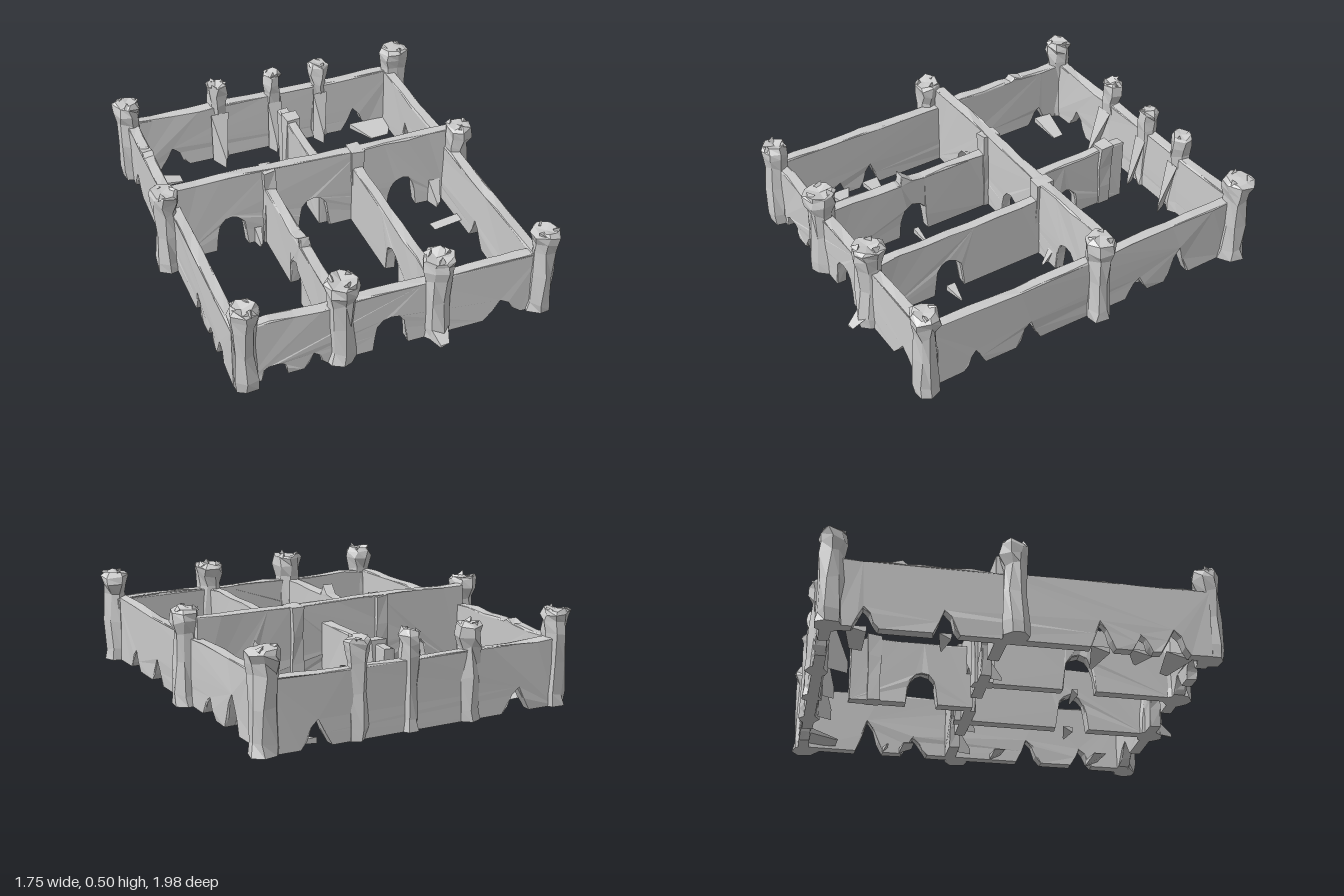
import * as THREE from 'three';

const mat = new THREE.MeshStandardMaterial({ color: 0xcccccc, flatShading: true, side: THREE.DoubleSide });

// Repeatable pseudo-random value in -1..1 from a position
const hash = (x, y, z, k) => {
  const s = Math.sin(x * 127.1 + y * 311.7 + z * 74.7 + k * 53.3) * 43758.5453;
  return (s - Math.floor(s)) * 2 - 1;
};

// Chip the surface: equal positions move equally, so no seams open
function roughen(geo, amount) {
  const p = geo.attributes.position;
  for (let i = 0; i < p.count; i++) {
    const [x, y, z] = [p.getX(i), p.getY(i), p.getZ(i)].map(v => Math.round(v * 1000) / 1000);
    p.setXYZ(i, x + amount * hash(x, y, z, 1),
      y < 0.005 ? 0 : y + amount * hash(x, y, z, 2), z + amount * hash(x, y, z, 3));
  }
  geo.computeVertexNormals();
  return geo;
}

function add(group, name, geo) {
  const mesh = new THREE.Mesh(geo, mat);
  mesh.name = name;
  group.add(mesh);
  return mesh;
}

// Wall from a to b along an axis. Gaps are [centre, width, height, kind]
function wall(group, name, axis, a, b, at, h, gaps = [], bumps = []) {
  const s = new THREE.Shape();
  s.moveTo(a, 0);
  for (const [c, w, gh, kind] of [...gaps].sort((m, n) => m[0] - n[0])) {
    s.lineTo(c - w / 2, 0);
    if (kind === 'arch') {
      for (let i = 0; i <= 6; i++) {
        const t = Math.PI * (1 - i / 6);
        s.lineTo(c + Math.cos(t) * w * 0.43, gh * (0.5 + 0.5 * Math.sin(t)));
      }
    } else {
      s.lineTo(c - w * 0.26, gh * 0.5);
      s.lineTo(c - w * 0.08, gh);
      s.lineTo(c + w * 0.16, gh * 0.72);
      s.lineTo(c + w * 0.3, gh * 0.3);
    }
    s.lineTo(c + w / 2, 0);
  }
  s.lineTo(b, 0);
  // Worn top edge, walked back from b to a
  const n = Math.round((b - a) / 0.13);
  const top = [];
  for (let i = 0; i <= n; i++) {
    const u = b + (a - b) * i / n;
    top.push([u, h + 0.006 * hash(u, at, h, 4)]);
  }
  for (const [c, bh] of bumps) top.push([c + 0.045, h], [c + 0.02, bh], [c - 0.04, h + 0.005]);
  top.sort((m, k) => k[0] - m[0]).forEach(([u, y]) => s.lineTo(u, y));
  const geo = new THREE.ExtrudeGeometry(s, {
    depth: 0.046, bevelEnabled: true, bevelSize: 0.003, bevelThickness: 0.005, bevelOffset: -0.003, bevelSegments: 1
  });
  geo.translate(0, 0, -0.023);
  if (axis === 'z') geo.rotateY(-Math.PI / 2);
  geo.translate(axis === 'z' ? at : 0, 0, axis === 'z' ? 0 : at);
  add(group, name, roughen(geo, 0.004));
}

// Rough round tower with a waist, flared head and broken crown
function tower(group, name, x, z, r, h, sides = 7) {
  const profile = [[0, 0], [0.94, 0], [0.9, 0.12], [0.84, 0.45], [0.82, 0.74], [1, 0.86], [1.02, 0.95], [0.82, 0.985], [0, 0.97]]
    .map(([a, b]) => new THREE.Vector2(a * r, b * h));
  const geo = new THREE.LatheGeometry(profile, sides, hash(x, 0, z, 5));
  geo.translate(x, 0, z);
  add(group, name, roughen(geo, 0.011));
  // Loose stones on the crown
  for (let i = 0; i < 3; i++) {
    const t = i * 2.1 + x * 5 + z * 3;
    const stone = add(group, 'crownStone', new THREE.TetrahedronGeometry(r * 0.36));
    stone.position.set(x + Math.cos(t) * r * 0.66, h * 0.975, z + Math.sin(t) * r * 0.66);
    stone.rotation.set(t, t * 2, 0);
  }
}

// Low tapering rubble wedge pointing along angle (0 = +x, PI/2 = +z)
function shard(group, x, z, angle, length, width, tip = 0.2, h = 0.03) {
  const s = new THREE.Shape();
  s.moveTo(0, -width / 2);
  s.lineTo(length, -width * tip / 2);
  s.lineTo(length * 0.97, width * tip / 2);
  s.lineTo(0, width / 2);
  const geo = new THREE.ExtrudeGeometry(s, { depth: h, bevelEnabled: false });
  geo.rotateX(-Math.PI / 2);
  const p = geo.attributes.position;
  for (let i = 0; i < p.count; i++) if (p.getY(i) > 0) p.setY(i, h * (1 - 0.8 * p.getX(i) / length));
  geo.computeVertexNormals();
  const mesh = add(group, 'rubbleWedge', geo);
  mesh.position.set(x, 0, z);
  mesh.rotation.y = -angle;
}

// Squared pilaster where walls meet
function post(group, name, x, z, w, d, h) {
  const geo = new THREE.BoxGeometry(w, h, d, 1, 3, 1);
  geo.translate(x, h / 2, z);
  add(group, name, roughen(geo, 0.007));
}

export function createModel() {
  const root = new THREE.Group();
  root.name = 'ruinedFort';
  const group = name => {
    const g = new THREE.Group();
    g.name = name;
    root.add(g);
    return g;
  };

  // Outer walls
  const outer = group('outerWalls');
  wall(outer, 'frontWall', 'x', -0.72, 0.8, 0.86, 0.34,
    [[-0.57, 0.13, 0.075, 'arch'], [-0.37, 0.11, 0.08], [0.01, 0.18, 0.185, 'arch'], [0.6, 0.2, 0.105]]);
  wall(outer, 'backWall', 'x', -0.76, 0.8, -0.925, 0.34,
    [[-0.52, 0.16, 0.12], [0.56, 0.16, 0.13]]);
  wall(outer, 'leftWall', 'z', -0.9, 0.88, 0.765, 0.34,
    [[0.62, 0.12, 0.1], [0.32, 0.14, 0.13], [-0.32, 0.14, 0.1], [-0.57, 0.15, 0.18]]);
  wall(outer, 'rightWall', 'z', -0.9, 0.88, -0.745, 0.34,
    [[0.7, 0.14, 0.12], [0.54, 0.1, 0.08], [0.35, 0.12, 0.13], [-0.38, 0.12, 0.12], [-0.75, 0.12, 0.1]], [[-0.61, 0.36]]);

  // Inner walls
  const inner = group('innerWalls');
  wall(inner, 'crossWall', 'x', -0.75, 0.77, -0.122, 0.44,
    [[-0.45, 0.17, 0.2, 'arch'], [0.0, 0.17, 0.2, 'arch'], [0.5, 0.17, 0.2, 'arch']]);
  wall(inner, 'frontRightPartition', 'z', -0.12, 0.84, -0.247, 0.34, [[0.36, 0.17, 0.19, 'arch']], [[0.4, 0.39]]);
  wall(inner, 'frontLeftPartition', 'z', -0.12, 0.84, 0.238, 0.34, [[0.44, 0.17, 0.19, 'arch']]);
  wall(inner, 'backPartition', 'z', -0.745, -0.12, 0.065, 0.34, [[-0.38, 0.16, 0.17, 'arch']]);
  post(inner, 'partitionPost', 0.068, -0.625, 0.075, 0.07, 0.36);
  post(inner, 'crossPost', -0.245, -0.12, 0.07, 0.1, 0.44);
  post(inner, 'crossPost', 0.238, -0.125, 0.06, 0.105, 0.44);

  // Towers: x, z, radius, height, sides
  const towers = group('towers');
  [['backTower', -0.76, -0.915, 0.07, 0.48], ['backTower', 0.8, -0.915, 0.074, 0.49],
    ['backTower', -0.255, -0.925, 0.06, 0.48, 6], ['backTower', 0.068, -0.925, 0.052, 0.48, 6],
    ['backTower', 0.34, -0.925, 0.056, 0.48, 6],
    ['sideTower', -0.8, -0.072, 0.07, 0.48], ['sideTower', 0.8, -0.075, 0.07, 0.49],
    ['frontTower', -0.715, 0.885, 0.07, 0.48], ['frontTower', -0.235, 0.87, 0.079, 0.485, 8],
    ['frontTower', 0.25, 0.87, 0.08, 0.48, 8], ['frontTower', 0.8, 0.885, 0.07, 0.485]
  ].forEach(([name, ...t]) => tower(towers, name, ...t));

  // Rubble: x, z, direction, length, width, tip ratio, height
  const rubble = group('rubble'), L = Math.PI, F = Math.PI / 2;
  [[-0.72, -0.79, 0.1, 0.2, 0.1, 0.6], [-0.72, -0.38, 0, 0.14, 0.06, 0.1], [-0.72, 0.35, 0, 0.2, 0.09, 0.1],
    [-0.72, 0.54, 0, 0.11, 0.12, 0.1], [-0.72, 0.73, -0.1, 0.2, 0.13, 0.3],
    [0.74, 0.13, L, 0.16, 0.06, 1], [0.74, 0.68, L, 0.2, 0.07, 1], [0.74, -0.37, L, 0.16, 0.07, 0.8],
    [0.74, -0.48, L, 0.12, 0.03, 0.3], [0.66, -0.9, F, 0.15, 0.26, 0.4],
    [-0.22, 0.35, 0, 0.13, 0.03, 0.2], [0.26, 0.43, 0, 0.11, 0.05, 0.1],
    [-0.255, -0.88, F, 0.1, 0.1, 0.1, 0.3], [0.068, -0.88, F, 0.06, 0.08, 0.3, 0.3], [0.34, -0.88, F, 0.07, 0.08, 0.1, 0.3],
    [0.25, 0.92, F, 0.07, 0.09, 0.5, 0.07], [-0.31, -0.1, F, 0.06, 0.04, 0.3, 0.1], [0.37, -0.1, F, 0.05, 0.04, 0.4, 0.1],
    [0.69, -0.1, F, 0.08, 0.07, 0.3, 0.15]
  ].forEach(s => shard(rubble, ...s));

  return root;
}
